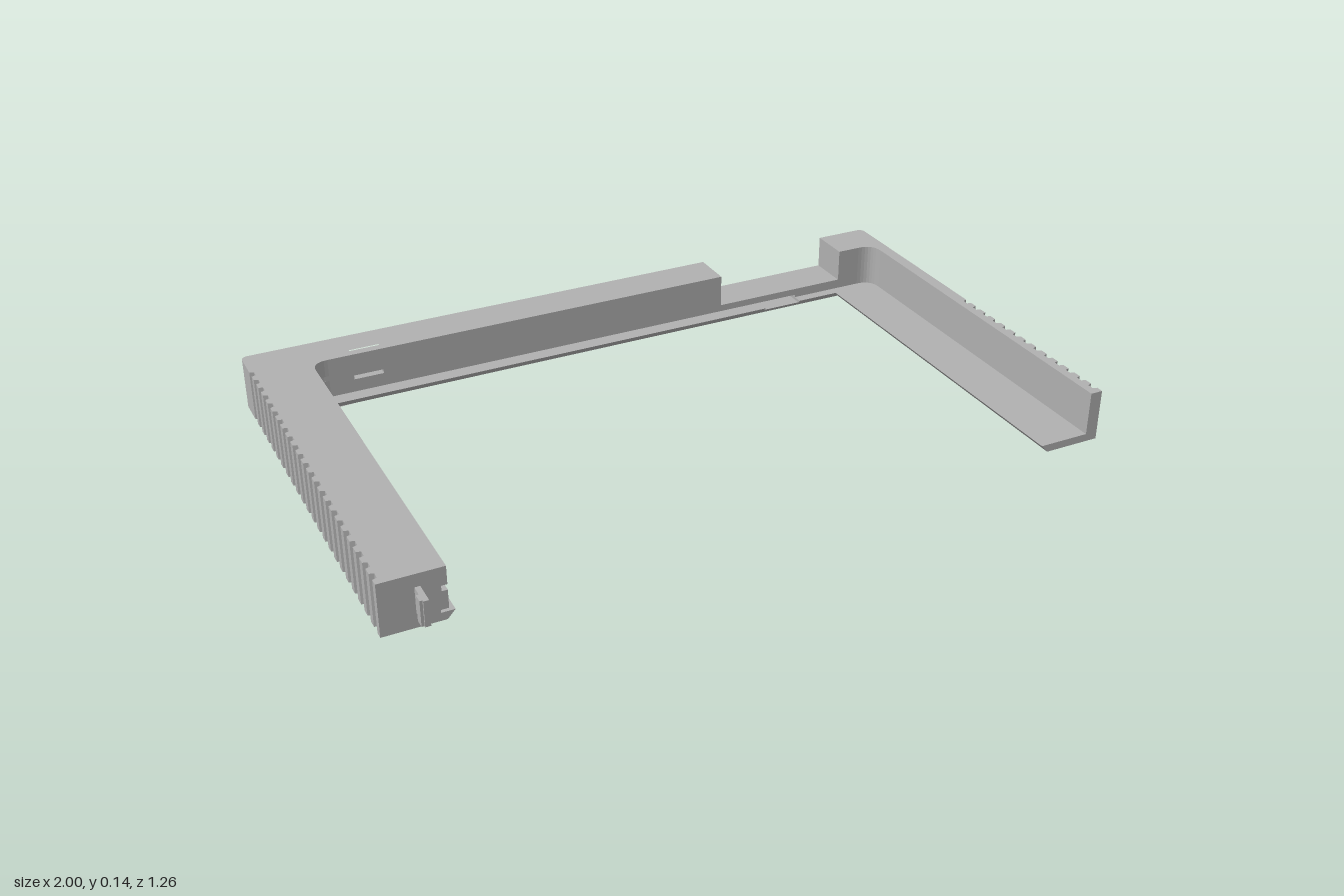
import * as THREE from 'three';

const FRONT = 0.57, BACK = -0.63, TOP = 0.145;
const grey = new THREE.MeshStandardMaterial({ color: 0xb0b0b0 });
grey.name = 'plastic grey';

// Closed plan outline from [x, z, cornerRadius] points
function outline(pts) {
  const shape = new THREE.Shape();
  const v = pts.map(p => new THREE.Vector2(p[0], -p[1]));
  const n = v.length;
  pts.forEach((p, i) => {
    const r = p[2] || 0, c = v[i];
    const toward = q => c.clone().add(q.clone().sub(c).setLength(r));
    const a = r ? toward(v[(i + n - 1) % n]) : c;
    if (i === 0) shape.moveTo(a.x, a.y); else shape.lineTo(a.x, a.y);
    if (r) {
      const b = toward(v[(i + 1) % n]);
      shape.quadraticCurveTo(c.x, c.y, b.x, b.y);
    }
  });
  shape.closePath();
  return shape;
}

// Horizontal layer between two heights
function slab(name, pts, y0, y1, hole) {
  const shape = outline(pts);
  if (hole) shape.holes.push(outline(hole));
  const geo = new THREE.ExtrudeGeometry(shape, { depth: y1 - y0, bevelEnabled: false, curveSegments: 8 });
  geo.rotateX(-Math.PI / 2).translate(0, y0, 0);
  const mesh = new THREE.Mesh(geo, grey);
  mesh.name = name;
  return mesh;
}

// Grip grooves along the outer side, from the front towards the back
function grip(side, zEnd) {
  const pts = [[side, FRONT]], d = side * 0.988;
  for (let z = FRONT - 0.02; z - 0.026 > zEnd; z -= 0.048) {
    pts.push([side, z], [d, z - 0.004], [d, z - 0.022], [side, z - 0.026]);
  }
  return pts;
}

// Plan of the left-hand arm with the back bar, and of the other arm
const armWithBar = (ix, iz, xEnd, r, notch = []) => [
  [ix, FRONT], ...grip(-1, -0.57), [-1, BACK, 0.022],
  [xEnd, BACK], [xEnd, iz], ...notch, [ix, iz, r]];
const slimArm = (ix, iz, xStart, r, zGrip) => [
  [ix, FRONT], ...grip(1, zGrip), [1, BACK, 0.022],
  [xStart, BACK], [xStart, iz], [ix, iz, r]];

// Undercut the inner edge of the flange
function undercut(mesh) {
  const p = mesh.geometry.attributes.position;
  for (let i = 0; i < p.count; i++) {
    const x = p.getX(i), z = p.getZ(i), s = 0.02 * (1 - p.getY(i) / 0.022);
    if (Math.abs(x) > 0.83 || z < -0.485) continue;
    if (Math.abs(x) > 0.815) p.setX(i, x + Math.sign(x) * s);
    if (z < -0.47) p.setZ(i, z - s);
  }
  mesh.geometry.computeVertexNormals();
  return mesh;
}

function box(name, x0, x1, y0, y1, z0, z1) {
  const mesh = new THREE.Mesh(new THREE.BoxGeometry(x1 - x0, y1 - y0, z1 - z0), grey);
  mesh.position.set((x0 + x1) / 2, (y0 + y1) / 2, (z0 + z1) / 2);
  mesh.name = name;
  return mesh;
}

export function createModel() {
  const model = new THREE.Group();
  model.name = 'uShapedFrame';
  const gripLow = -0.25, gripHigh = -0.1;

  // Bottom flange: one U, then a layer split by the port in the back bar
  const base = [
    [-0.82, FRONT], ...grip(-1, -0.57), [-1, BACK, 0.022], [1, BACK, 0.022],
    ...grip(1, gripLow).reverse(), [0.82, FRONT], [0.82, -0.48], [-0.82, -0.48]];
  model.add(
    undercut(slab('flangeBase', base, 0, 0.014)),
    undercut(slab('flangeLeft', armWithBar(-0.82, -0.48, 0.57, 0), 0.014, 0.022)),
    undercut(slab('flangeRight', slimArm(0.82, -0.48, 0.69, 0, gripLow), 0.014, 0.022)));

  // Panel groove above the flange
  model.add(
    slab('grooveLayer', armWithBar(-0.855, -0.525, 0.57, 0.045), 0.022, 0.03),
    slab('grooveLayerRight', slimArm(0.965, -0.51, 0.69, 0.05, gripLow), 0.022, 0.03));

  // Thick arm and back bar, with a slot that turns from the inner face up to the top
  const sx0 = -0.72, sx1 = -0.635;
  const notch = [[sx1, -0.51], [sx1, -0.54], [sx0, -0.54], [sx0, -0.51]];
  const hole = [[sx0, -0.54], [sx1, -0.54], [sx1, -0.525], [sx0, -0.525]];
  const body = (ix, extra) => armWithBar(ix, -0.51, 0.43, 0.045, extra);
  model.add(
    slab('bodyLower', body(-0.835), 0.03, 0.068),
    slab('bodySlotLayer', body(-0.835, notch), 0.068, 0.08),
    slab('bodyRailGroove', body(-0.85), 0.08, 0.095, hole),
    slab('bodyUpper', body(-0.835), 0.095, TOP, hole));

  // Low bridge over the port
  model.add(box('lowBridge', 0.43, 0.85, 0.03, 0.05, BACK, -0.51));

  // Slim arm wall and its corner block
  model.add(
    slab('slimWallLower', slimArm(0.965, -0.51, 0.845, 0.05, gripLow), 0.03, 0.09),
    slab('slimWallUpper', slimArm(0.965, -0.51, 0.845, 0.05, gripHigh), 0.09, TOP));

  // Locking peg with a small hook
  model.add(
    box('peg', -0.912, -0.898, 0.04, 0.11, 0.56, 0.63),
    box('pegHook', -0.919, -0.905, 0.04, 0.11, 0.6, 0.625));
  return model;
}
